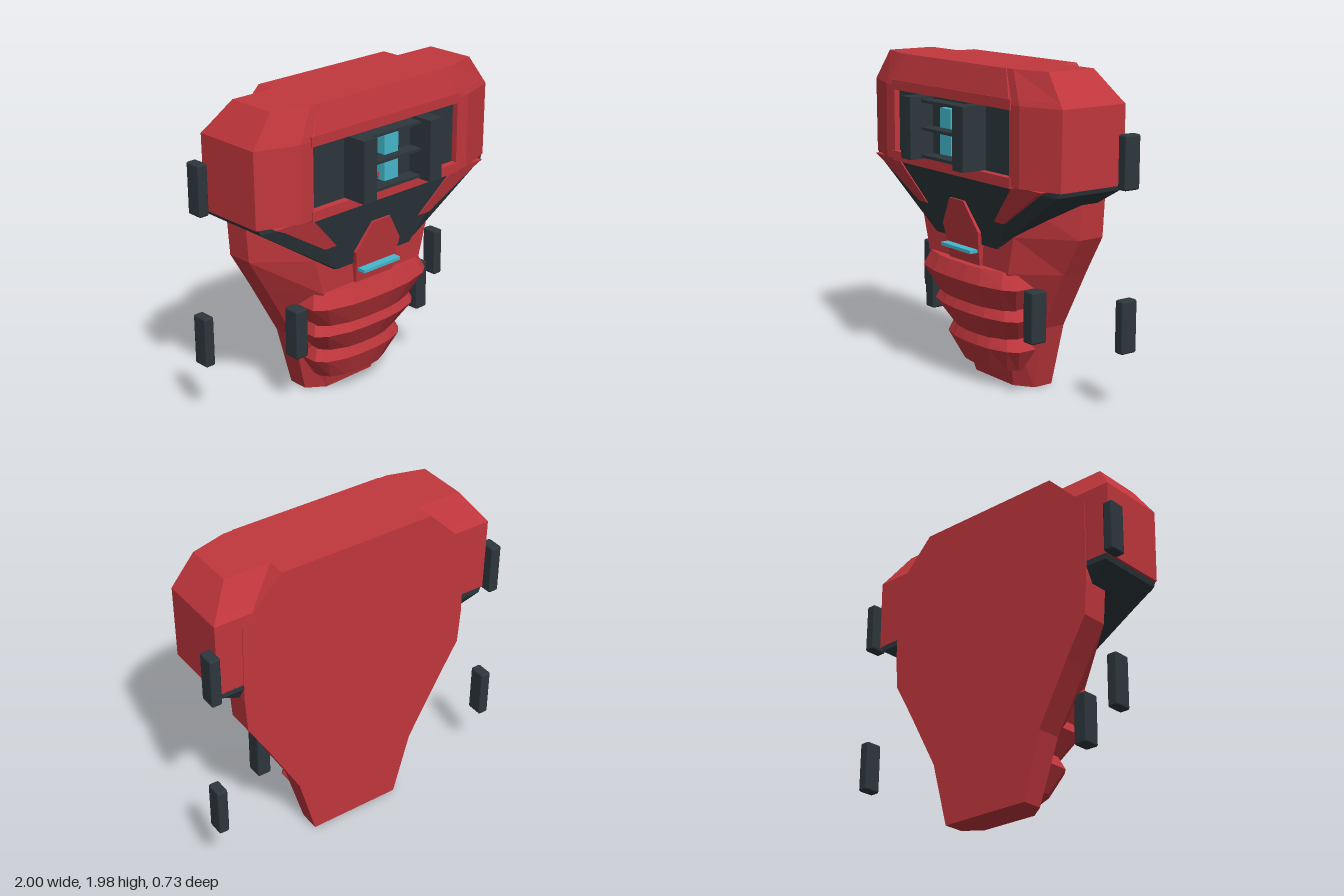
import * as THREE from 'three';
import { RoundedBoxGeometry } from 'three/addons/geometries/RoundedBoxGeometry.js';

const red = new THREE.MeshStandardMaterial({ color: 0xc1373d });
red.name = 'red armour';
const dark = new THREE.MeshStandardMaterial({ color: 0x2d373d });
dark.name = 'dark metal';
const cyan = new THREE.MeshStandardMaterial({ color: 0x45b9cd });
cyan.name = 'cyan light';

// Faceted solid through horizontal cross-sections, each { y, loop: [[x, z], ...] }, bottom to top
function loft(sections) {
  const n = sections[0].loop.length, pos = [], idx = [];
  sections.forEach(({ y, loop }) => loop.forEach(([x, z]) => pos.push(x, y, z)));
  for (let s = 0; s < sections.length - 1; s++) {
    for (let i = 0; i < n; i++) {
      const a = s * n + i, b = s * n + (i + 1) % n, c = b + n, d = a + n;
      idx.push(a, d, c, a, c, b);
    }
  }
  const top = (sections.length - 1) * n;
  for (let i = 1; i < n - 1; i++) idx.push(0, i, i + 1, top, top + i + 1, top + i);
  const g = new THREE.BufferGeometry();
  g.setAttribute('position', new THREE.Float32BufferAttribute(pos, 3));
  g.setIndex(idx);
  const flat = g.toNonIndexed();
  flat.computeVertexNormals();
  return flat;
}

// Symmetric section: half width, front half width, back z, side corner z, front z
const section = ([y, w, f, zb, zs, zf]) => ({
  y, loop: [[w, zb], [w, zs], [f, zf], [-f, zf], [-w, zs], [-w, zb]],
});

// Abdomen section with a rounded front
const ribSection = ([y, w, zb, zf]) => {
  const half = [[w, zb], [w, zf - 0.11], [w * 0.85, zf - 0.055], [w * 0.5, zf - 0.012], [w * 0.2, zf]];
  return { y, loop: [...half, ...half.map(([x, z]) => [-x, z]).reverse()] };
};

const mirror = (sections) => sections.map(({ y, loop }) => ({
  y, loop: loop.map(([x, z]) => [-x, z]).reverse(),
}));

// Plate with its front face leaning along z = z0 + slope * y
function leaningPlate(points, depth, z0, slope) {
  const shape = new THREE.Shape(points.map(([x, y]) => new THREE.Vector2(x, y)));
  const g = new THREE.ExtrudeGeometry(shape, { depth, bevelEnabled: false });
  const p = g.attributes.position;
  for (let i = 0; i < p.count; i++) p.setZ(i, p.getZ(i) - depth + z0 + slope * p.getY(i));
  g.computeVertexNormals();
  return g;
}

export function createModel() {
  const model = new THREE.Group();
  model.name = 'armouredTorso';
  const add = (name, geometry, material) => {
    const m = new THREE.Mesh(geometry, material);
    m.name = name;
    model.add(m);
    return m;
  };
  // Box from its extents
  const box = (name, material, x0, x1, y0, y1, z0, z1) =>
    add(name, new THREE.BoxGeometry(x1 - x0, y1 - y0, z1 - z0), material)
      .position.set((x0 + x1) / 2, (y0 + y1) / 2, (z0 + z1) / 2);

  // Tapered torso core with flat back
  add('torsoCore', loft([
    [0, 0.3, 0.19, -0.31, -0.18, -0.1],
    [0.4, 0.41, 0.27, -0.31, -0.15, 0],
    [0.77, 0.615, 0.4, -0.31, -0.14, 0.105],
    [1.0, 0.75, 0.46, -0.31, -0.14, 0.11],
    [1.22, 0.765, 0.5, -0.31, -0.14, 0.12],
    [1.72, 0.76, 0.5, -0.31, -0.14, 0.12],
    [1.98, 0.5, 0.45, -0.31, -0.14, 0.12],
  ].map(section)), red);

  // Dark underside of the chest
  add('chestUnderside', loft([
    [0.905, 0.315, 0.3, -0.05, 0.105, 0.12],
    [1.2, 0.75, 0.5, -0.25, 0.14, 0.18],
    [1.3, 0.9, 0.6, -0.305, 0.15, 0.2],
    [1.335, 0.91, 0.6, -0.305, 0.15, 0.205],
  ].map(section)), dark);

  // Shoulder blocks: inner x, half width, front x, back z, side z, front z
  const shoulder = [
    [1.33, 0.58, 0.925, 0.67, -0.305, 0.145, 0.237],
    [1.79, 0.58, 0.93, 0.67, -0.305, 0.145, 0.237],
    [1.82, 0.575, 0.908, 0.655, -0.285, 0.143, 0.232],
    [1.98, 0.49, 0.79, 0.56, -0.19, 0.13, 0.195],
  ].map(([y, i, w, f, zb, zs, zf]) => ({ y, loop: [[i, zb], [w, zb], [w, zs], [f, zf], [i, zf]] }));
  add('leftShoulder', loft(shoulder), red);
  add('rightShoulder', loft(mirror(shoulder)), red);

  // Upper chest between the shoulders
  add('chestTop', loft([
    [1.8, 0.59, 0.585, -0.2, 0.235, 0.24],
    [1.82, 0.585, 0.575, -0.2, 0.235, 0.24],
    [1.98, 0.5, 0.5, -0.2, 0.195, 0.2],
  ].map(section)), red);
  box('windowBack', dark, -0.585, 0.585, 1.34, 1.81, -0.1, 0.2);
  for (const [name, y] of [['upperRail', 1.76], ['lowerRail', 1.32]]) {
    box(name, red, -0.595, 0.595, y, y + 0.06, 0.1, 0.245);
  }

  // Grille in the window
  for (const s of [-1, 1]) {
    const x = s * 0.265;
    box('grillePost', dark, x - 0.05, x + 0.05, 1.382, 1.757, 0.19, 0.365);
  }
  for (const y of [1.4, 1.565, 1.73]) box('grilleSlat', dark, -0.215, 0.215, y - 0.009, y + 0.009, 0.19, 0.285);
  box('upperLight', cyan, -0.055, 0.055, 1.59, 1.706, 0.19, 0.262);
  box('lowerLight', cyan, -0.055, 0.055, 1.43, 1.555, 0.19, 0.262);
  add('lightHolder', leaningPlate([[-0.05, 1.43], [0.05, 1.43], [0.085, 1.475], [-0.085, 1.475]], 0.02, 0.215, 0), red);

  // Chest flaps and centre plate
  const flap = [[0.58, 1.33], [0.34, 1.08], [0.43, 1.08], [0.77, 1.295], [0.84, 1.33]];
  for (const s of [-1, 1]) {
    const pts = flap.map(([x, y]) => [s * x, y]);
    add(s > 0 ? 'leftFlap' : 'rightFlap', leaningPlate(pts, 0.06, -0.07, 0.215), red);
  }
  add('centrePlate', leaningPlate(
    [[-0.15, 0.76], [0.15, 0.76], [0.165, 0.9], [0.18, 0.985], [0.07, 1.16], [-0.07, 1.16], [-0.18, 0.985], [-0.165, 0.9]],
    0.06, 0.001, 0.16), red);
  box('lightBar', cyan, -0.15, 0.15, 0.855, 0.875, 0.12, 0.195);

  // Three abdomen ribs: y, half width, back z, front z
  [
    [[0.53, 0.38, -0.06, 0.14], [0.68, 0.47, -0.1, 0.205], [0.775, 0.43, -0.06, 0.17]],
    [[0.32, 0.31, -0.12, 0.07], [0.47, 0.415, -0.15, 0.15], [0.57, 0.37, -0.12, 0.115]],
    [[0.115, 0.27, -0.16, 0.035], [0.26, 0.355, -0.19, 0.09], [0.36, 0.31, -0.14, 0.06]],
  ].forEach((rib, i) => add(`abdomenRib${i + 1}`, loft(rib.map(ribSection)), red));

  // Side pads, mirrored
  const pads = [
    ['upperPad', 0.966, 1.467, -0.308, 0.068],
    ['lowerPad', 0.966, 0.52, -0.308, 0.068],
    ['hipPad', 0.505, 0.52, -0.015, 0.09],
  ];
  for (const [name, x, y, z, w] of pads) {
    for (const s of [-1, 1]) {
      add(name, new RoundedBoxGeometry(w, 0.315, 0.11, 2, 0.013), dark).position.set(s * x, y, z);
    }
  }
  return model;
}
